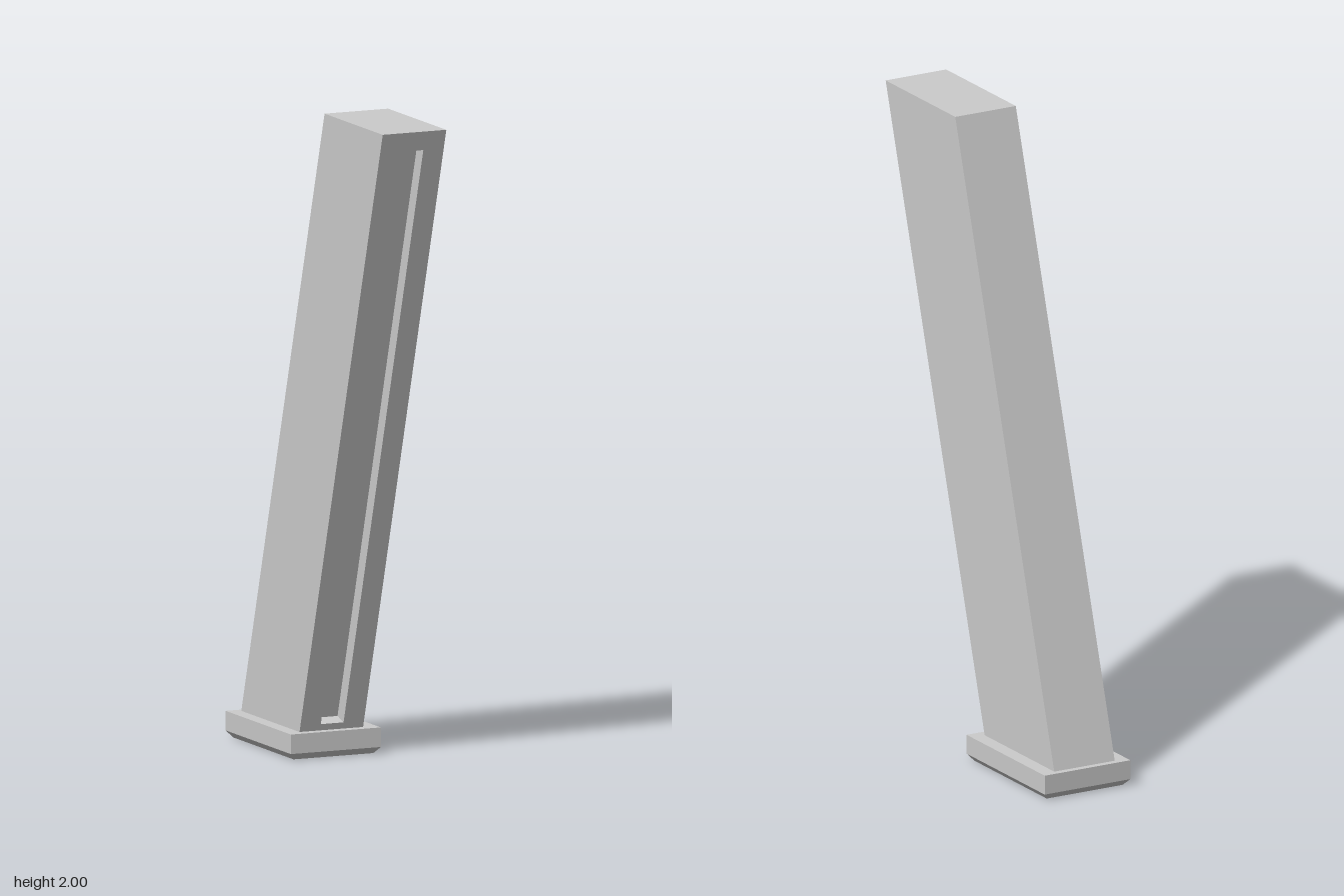
import * as THREE from 'three';

// Skins a list of four-cornered loops with flat quads and caps both ends.
function skinLoops(loops) {
  const pos = [];
  const quad = (a, b, c, d) => pos.push(...a, ...b, ...c, ...a, ...c, ...d);
  for (let k = 0; k + 1 < loops.length; k++) {
    const A = loops[k], B = loops[k + 1];
    for (let i = 0; i < 4; i++) {
      const j = (i + 1) % 4;
      quad(A[i], A[j], B[j], B[i]);
    }
  }
  const first = loops[0];
  quad(first[3], first[2], first[1], first[0]);
  quad(...loops[loops.length - 1]);
  const geo = new THREE.BufferGeometry();
  geo.setAttribute('position', new THREE.Float32BufferAttribute(pos, 3));
  geo.computeVertexNormals();
  return geo;
}

export function createModel() {
  const group = new THREE.Group();
  const material = new THREE.MeshStandardMaterial({ color: 0xcccccc, flatShading: true });
  const add = (name, geometry) => {
    const mesh = new THREE.Mesh(geometry, material);
    mesh.name = name;
    group.add(mesh);
  };

  // Leaning body: back face, outer front edge, groove mouth, groove floor
  const slope = 0.2995;
  const frontLoop = (halfWidth, y0, y1, dy = 0, dz = 0) =>
    [[-1, y0], [1, y0], [1, y1], [-1, y1]].map(([side, y]) => [
      side * halfWidth + 0.0045 * y - 0.0015,
      y + dy,
      -0.07 + (y - 0.08) * slope + dz,
    ]);
  const depth = 0.045;
  const len = Math.hypot(1, slope);
  add('leaningBody', skinLoops([
    frontLoop(0.106, 0.07, 2, 0, -0.415),
    frontLoop(0.106, 0.07, 2),
    frontLoop(0.038, 0.1, 1.94),
    frontLoop(0.038, 0.1, 1.94, depth * slope / len, -depth / len),
  ]));

  // Base plate with a chamfered underside
  const plateLoop = (y, inset) =>
    [[-1, 1], [1, 1], [1, -1], [-1, -1]].map(([sx, sz]) => [
      sx * (0.15 - inset), y, -0.2725 + sz * (0.2325 - inset),
    ]);
  add('basePlate', skinLoops([plateLoop(0, 0.017), plateLoop(0.02, 0), plateLoop(0.08, 0)]));

  return group;
}
